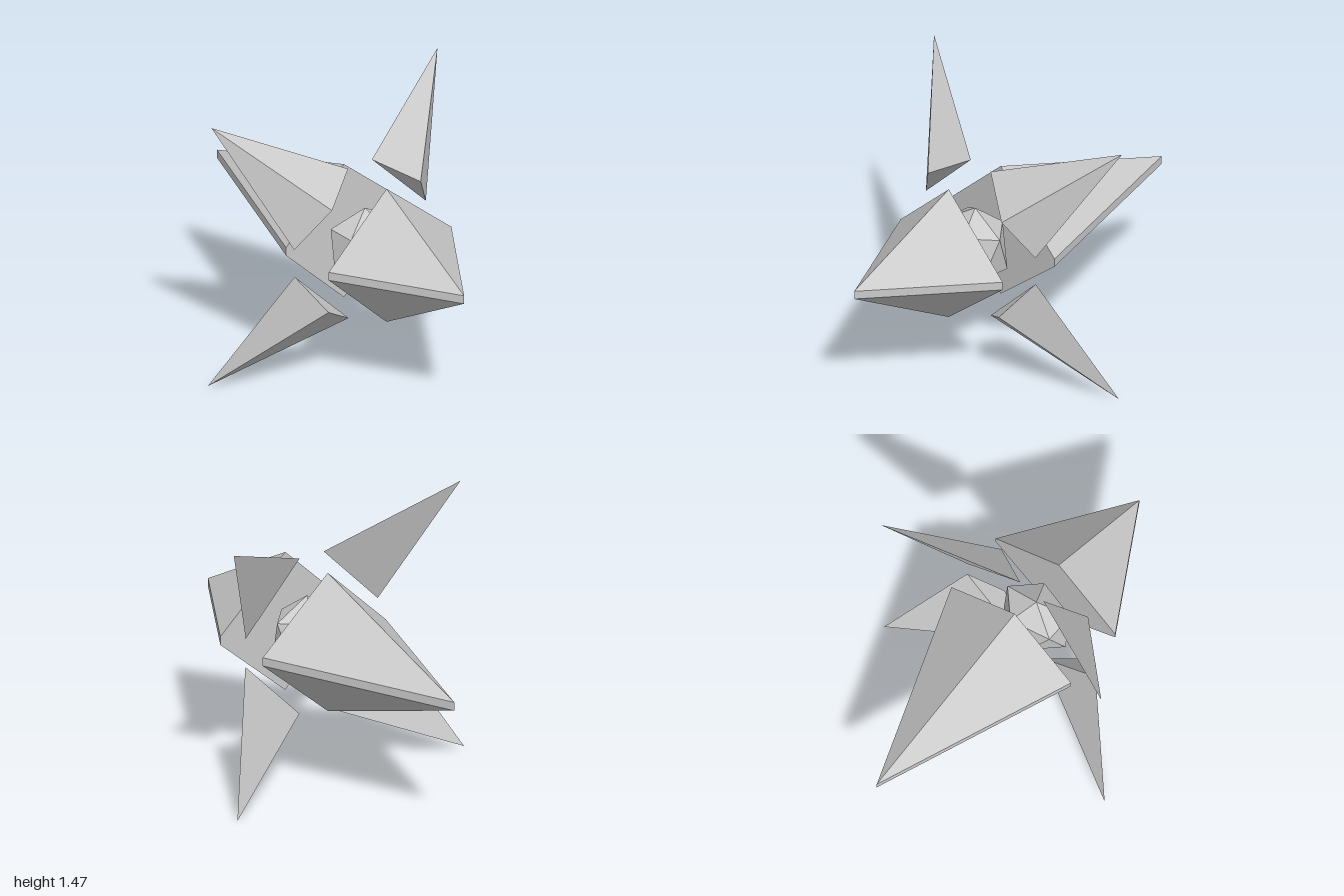
import * as THREE from 'three';
import { ConvexGeometry } from 'three/addons/geometries/ConvexGeometry.js';

const material = new THREE.MeshStandardMaterial({ color: 0xcccccc, flatShading: true });
const CENTER_Y = 0.7375;

function hull(name, points) {
  const geometry = new ConvexGeometry(points.map((p) => new THREE.Vector3(...p)));
  const mesh = new THREE.Mesh(geometry, material);
  mesh.name = name;
  return mesh;
}

// Six-sided base with narrow vertical flanks, tapering to a short upright edge
function spike(name, baseZ, tipZ, tipX) {
  const low = 0.71, high = 0.755;
  return hull(name, [
    [0, 1.105, baseZ], [0.415, high, baseZ], [0.415, low, baseZ],
    [0, 0.355, baseZ], [-0.37, low, baseZ], [-0.37, high, baseZ],
    [tipX, high, tipZ], [tipX, low, tipZ],
  ]);
}

// Stretched icosahedron with its poles pointing up and down
function core() {
  const points = [[0, 0.21, 0], [0, -0.21, 0]];
  for (let i = 0; i < 10; i++) {
    const a = (i * Math.PI) / 5;
    points.push([0.19 * Math.cos(a), i % 2 ? -0.107 : 0.107, 0.137 * Math.sin(a)]);
  }
  const mesh = hull('core', points);
  mesh.position.set(0, 0.717, 0.207);
  return mesh;
}

export function createModel() {
  const model = new THREE.Group();
  model.name = 'starShip';

  model.add(spike('frontSpike', 0.38, 1, 0));
  model.add(spike('backSpike', 0.04, -1, 0.02));
  model.add(core());

  // Four swept-back fins, each a slim tetrahedron, turned around the long axis
  const names = ['upperLeftFin', 'upperRightFin', 'lowerRightFin', 'lowerLeftFin'];
  names.forEach((name, i) => {
    const fin = hull(name, [
      [0.735, 0.7125, -0.13],
      [0.075, 0.4225, 0.17],
      [0.42, 0.0775, 0.17],
      [0.295, 0.2725, 0.285],
    ]);
    fin.position.y = CENTER_Y;
    fin.rotation.z = (i * Math.PI) / 2;
    model.add(fin);
  });

  return model;
}
